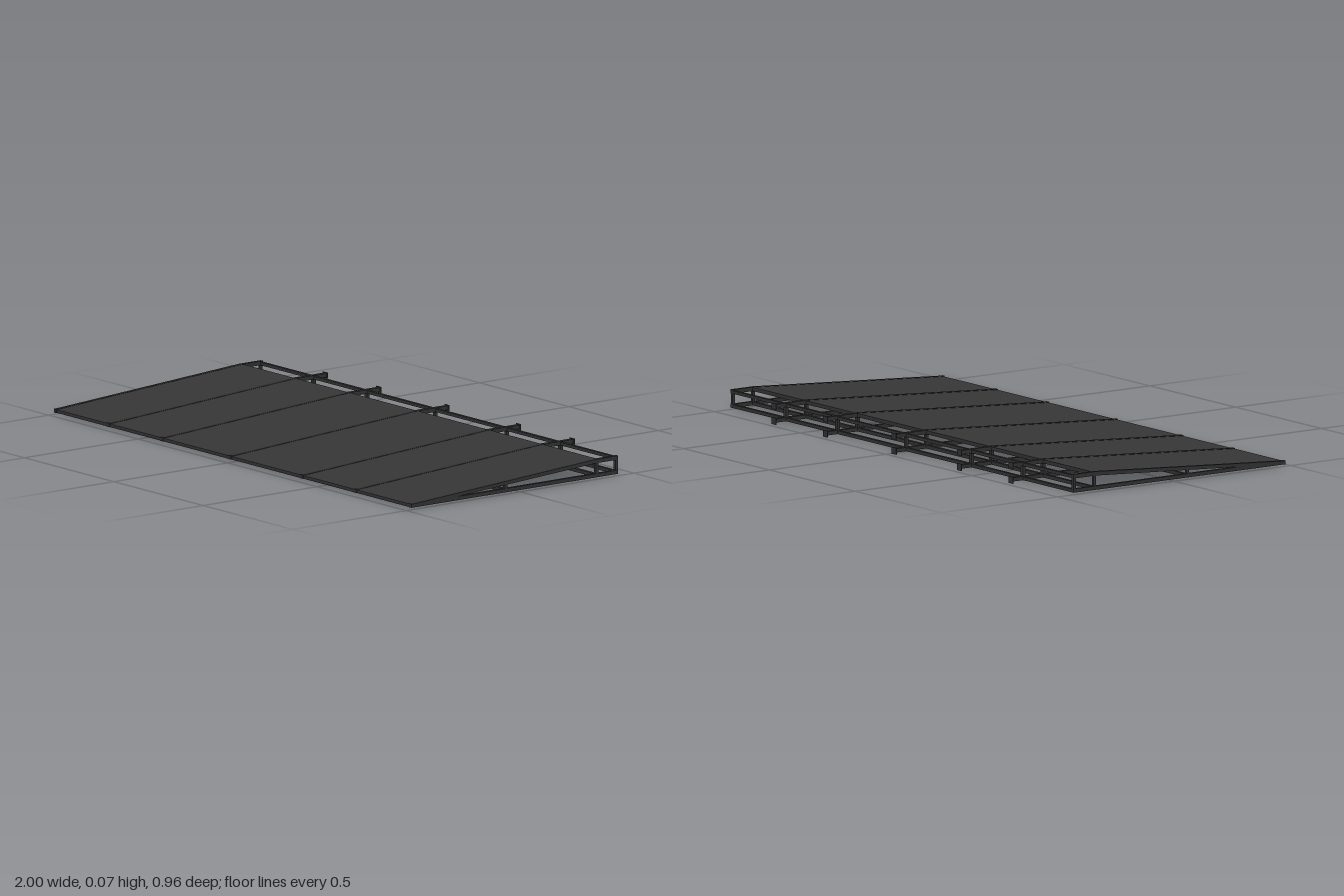
import * as THREE from 'three';

const FRONT = 0.475, CREST = -0.335;      // z of the ramp toe and of the crest
const TOE_Y = 0.018, CREST_Y = 0.07;      // top surface heights
const BASE_LOW = 0.007, BASE_TOP = 0.02;  // lower rail
const TUBE = 0.013;

const topAt = (z) => TOE_Y + (CREST_Y - TOE_Y) * Math.min(1, (FRONT - z) / (FRONT - CREST));

export function createModel() {
  const model = new THREE.Group();
  const steel = new THREE.MeshStandardMaterial({ color: 0x303030 });
  const plate = new THREE.MeshStandardMaterial({ color: 0x363636 });

  const box = (name, x0, x1, y0, y1, z0, z1, parent = model) => {
    const mesh = new THREE.Mesh(new THREE.BoxGeometry(x1 - x0, y1 - y0, z1 - z0), steel);
    mesh.position.set((x0 + x1) / 2, (y0 + y1) / 2, (z0 + z1) / 2);
    mesh.name = name;
    parent.add(mesh);
  };

  // Extrudes a [z, y] side profile across a width centred on x
  const sideExtrude = (name, points, x, width, material, parent = model) => {
    const shape = new THREE.Shape(points.map(([z, y]) => new THREE.Vector2(-z, y)));
    const geometry = new THREE.ExtrudeGeometry(shape, { depth: width, bevelEnabled: false });
    geometry.translate(0, 0, -width / 2);
    geometry.rotateY(Math.PI / 2);
    const mesh = new THREE.Mesh(geometry, material);
    mesh.position.x = x;
    mesh.name = name;
    parent.add(mesh);
  };

  // One side frame: lower rail, sloping upper rail and posts
  const frame = (name, x, width, back) => {
    const group = new THREE.Group();
    group.name = name;
    const h = width / 2;
    box('lowerRail', x - h, x + h, BASE_LOW, BASE_TOP, back, FRONT + 0.003, group);
    sideExtrude('upperRail', [
      [FRONT + 0.003, TOE_Y - 0.01], [FRONT + 0.003, TOE_Y + 0.001], [CREST, CREST_Y + 0.001],
      [back, CREST_Y + 0.001], [back, CREST_Y - TUBE], [CREST, CREST_Y - TUBE],
    ], x, width, steel, group);
    for (const z of [-0.425, -0.339, 0.06]) {
      box('post', x - h * 0.8, x + h * 0.8, BASE_TOP - 0.002, topAt(z) - 0.009, z - 0.0055, z + 0.0055, group);
    }
    model.add(group);
    return group;
  };

  // End frames
  for (const s of [-1, 1]) frame('endFrame', s * 0.9935, TUBE, -0.431);

  // Inner frames run further back and carry end plates
  for (const x of [-0.697, -0.397, -0.016, 0.384, 0.684]) {
    const group = frame('innerFrame', x, 0.016, -0.476);
    box('lowerEndPlate', x - 0.013, x + 0.013, 0, 0.024, -0.478, -0.475, group);
    box('upperEndPlate', x - 0.013, x + 0.013, 0.053, 0.074, -0.478, -0.475, group);
  }

  // Cross bars, top and bottom
  for (const z of [-0.425, -0.339, 0.06]) {
    const top = topAt(z) - 0.002;
    box('upperCrossBar', -1, 1, top - 0.011, top, z - 0.006, z + 0.006);
    box('lowerCrossBar', -1, 1, BASE_LOW, BASE_TOP - 0.001, z - 0.006, z + 0.006);
  }
  box('toeBar', -1, 1, BASE_LOW, TOE_Y - 0.002, FRONT - 0.012, FRONT);

  // Sloping deck
  sideExtrude('deck', [
    [FRONT, TOE_Y - 0.004], [FRONT, TOE_Y], [CREST, CREST_Y], [CREST - 0.01, CREST_Y],
    [CREST - 0.01, CREST_Y - 0.004], [CREST, CREST_Y - 0.004],
  ], 0, 1.999, plate);

  return model;
}
